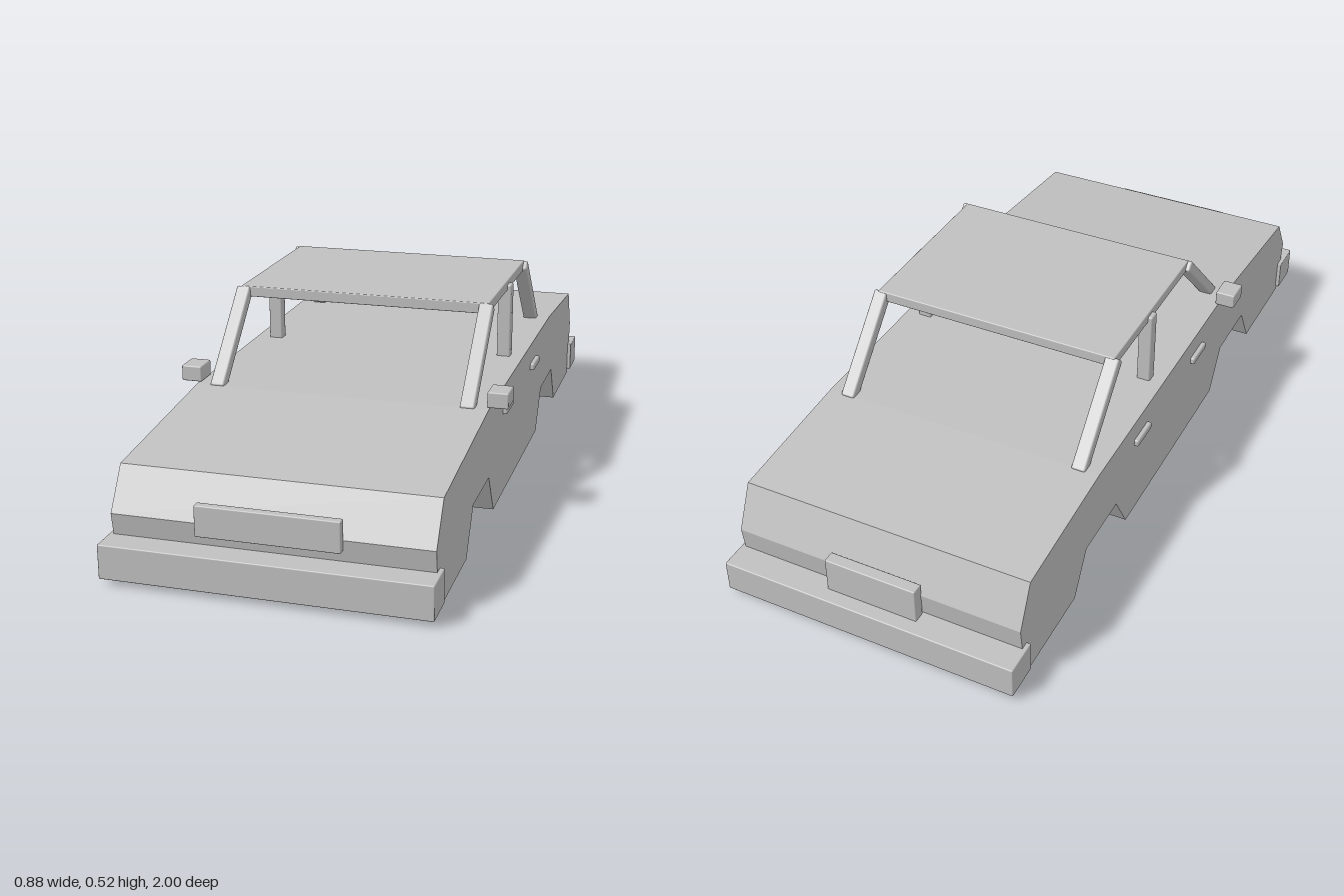
import * as THREE from 'three';
import { RoundedBoxGeometry } from 'three/addons/geometries/RoundedBoxGeometry.js';

export function createModel() {
  const car = new THREE.Group();
  car.name = 'car';
  const grey = new THREE.MeshStandardMaterial({ color: 0xc0c0c0 });
  grey.name = 'grey';

  const add = (name, geometry) => {
    const mesh = new THREE.Mesh(geometry, grey);
    mesh.name = name;
    car.add(mesh);
    return mesh;
  };
  // Softly rounded block between two corners
  const block = (name, [x0, y0, z0], [x1, y1, z1], radius = 0.003) => {
    const mesh = add(name, new RoundedBoxGeometry(x1 - x0, y1 - y0, z1 - z0, 2, radius));
    mesh.position.set((x0 + x1) / 2, (y0 + y1) / 2, (z0 + z1) / 2);
    return mesh;
  };
  // Roof post between two (y, z) points on one side
  const pillar = (name, x, [y0, z0], [y1, z1], depth) => {
    const dy = y1 - y0, dz = z1 - z0;
    const mesh = add(name, new RoundedBoxGeometry(0.038, Math.hypot(dy, dz), depth, 2, 0.005));
    mesh.position.set(x, (y0 + y1) / 2, (z0 + z1) / 2);
    mesh.rotation.x = Math.atan2(dz, dy);
  };

  // Body: side outline as (z, y), with open wheel arches
  const outline = [
    [0.915, 0], [0.94, 0.157], [0.875, 0.259], [0.4, 0.305], [-0.5, 0.305],
    [-0.882, 0.28], [-0.935, 0.165], [-0.914, 0], [-0.635, 0], [-0.568, 0.115],
    [-0.385, 0.115], [-0.315, 0], [0.31, 0], [0.378, 0.115], [0.562, 0.115], [0.63, 0],
  ];
  const shape = new THREE.Shape(outline.map(([z, y]) => new THREE.Vector2(z, y)));
  const body = new THREE.ExtrudeGeometry(shape, { depth: 0.784, bevelEnabled: false });
  body.translate(0, 0, -0.392).rotateY(-Math.PI / 2);
  add('body', body);

  // Roof
  block('roof', [-0.343, 0.493, -0.312], [0.343, 0.522, 0.186]);

  // Bumpers and plates
  block('frontBumper', [-0.403, 0.015, 0.903], [0.403, 0.102, 1]);
  block('rearBumper', [-0.403, 0.015, -1], [0.403, 0.102, -0.903]);
  block('frontPlate', [-0.176, 0.131, 0.936], [0.176, 0.209, 0.958]);
  block('rearPlate', [-0.125, 0.1, -0.962], [0.125, 0.198, -0.93]);

  // Pillars, mirrors and door handles on both sides
  for (const s of [1, -1]) {
    const side = s > 0 ? 'left' : 'right';
    pillar(side + 'FrontPillar', s * 0.336, [0.296, 0.392], [0.512, 0.174], 0.03);
    pillar(side + 'MiddlePillar', s * 0.336, [0.296, -0.079], [0.51, -0.079], 0.033);
    pillar(side + 'RearPillar', s * 0.336, [0.296, -0.498], [0.512, -0.298], 0.03);
    const pair = (name, x, y, z, w, h, d, r) =>
      block(side + name, [s * x - w / 2, y - h / 2, z - d / 2], [s * x + w / 2, y + h / 2, z + d / 2], r);
    pair('Mirror', 0.412, 0.327, 0.353, 0.055, 0.042, 0.068, 0.004);
    pair('FrontHandle', 0.396, 0.239, 0.164, 0.016, 0.02, 0.09, 0.005);
    pair('RearHandle', 0.396, 0.239, -0.232, 0.016, 0.02, 0.09, 0.005);
  }
  return car;
}
